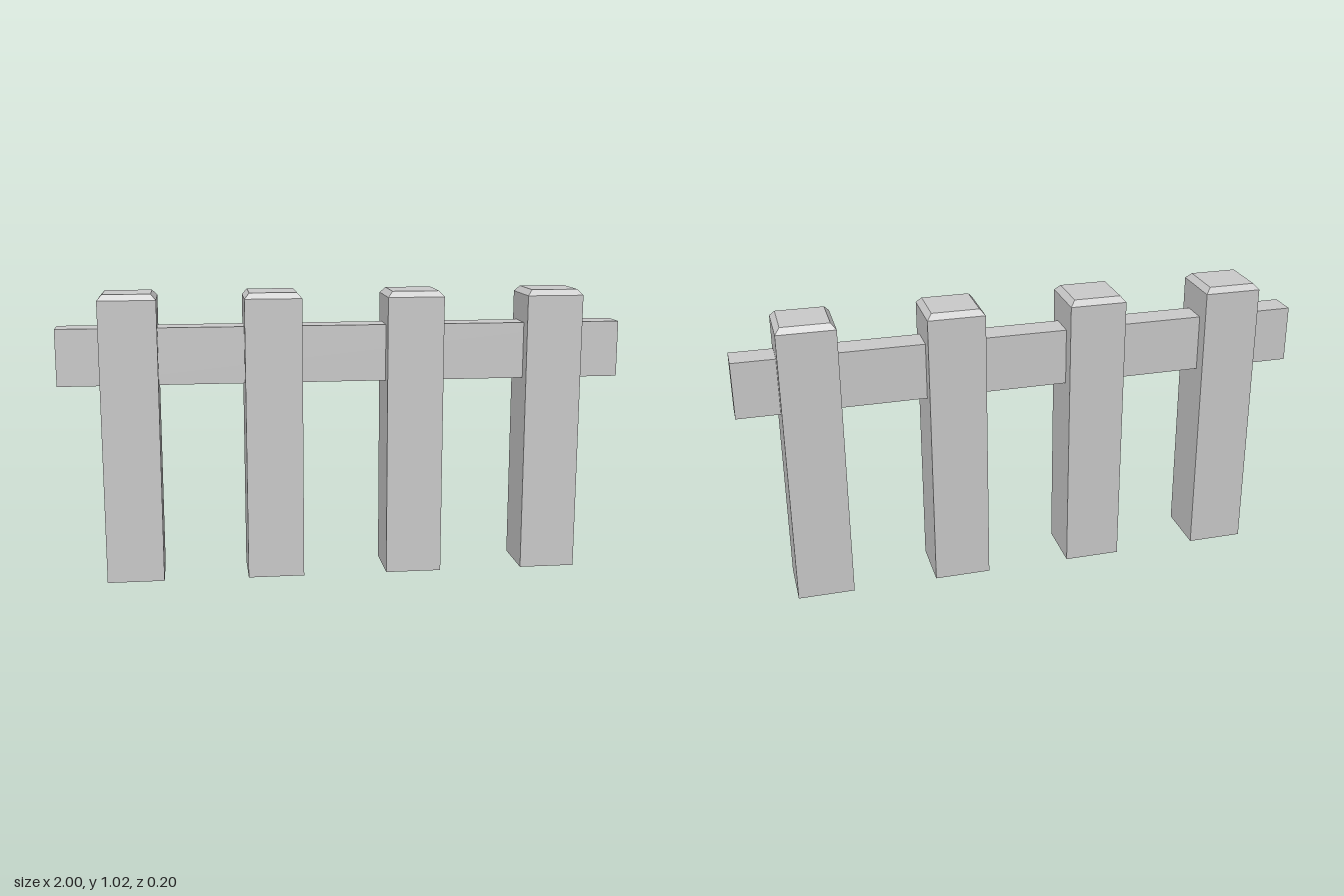
import * as THREE from 'three';

const POST = { width: 0.2, shoulder: 1.0, top: 1.02, taper: 0.825 };

// Square post whose top edge is chamfered: the middle ring becomes the shoulder, the top ring is drawn in
function createPostGeometry() {
  const geometry = new THREE.BoxGeometry(POST.width, 2, POST.width, 1, 2, 1);
  const p = geometry.attributes.position;
  for (let i = 0; i < p.count; i++) {
    const y = p.getY(i);
    if (y > 0.5) p.setXYZ(i, p.getX(i) * POST.taper, POST.top, p.getZ(i) * POST.taper);
    else p.setY(i, y < -0.5 ? 0 : POST.shoulder);
  }
  const flat = geometry.toNonIndexed();
  flat.computeVertexNormals();
  return flat;
}

export function createModel() {
  const model = new THREE.Group();
  model.name = 'fence';
  const material = new THREE.MeshStandardMaterial({ color: 0xcccccc, flatShading: true });

  // Four evenly spaced posts
  const postGeometry = createPostGeometry();
  for (let i = 0; i < 4; i++) {
    const post = new THREE.Mesh(postGeometry, material);
    post.name = `post${i + 1}`;
    post.position.x = -0.75 + i * 0.5;
    model.add(post);
  }

  // Single rail running through all posts
  const rail = new THREE.Mesh(new THREE.BoxGeometry(2, 0.2, 0.1), material);
  rail.name = 'rail';
  rail.position.y = 0.8;
  model.add(rail);

  return model;
}
